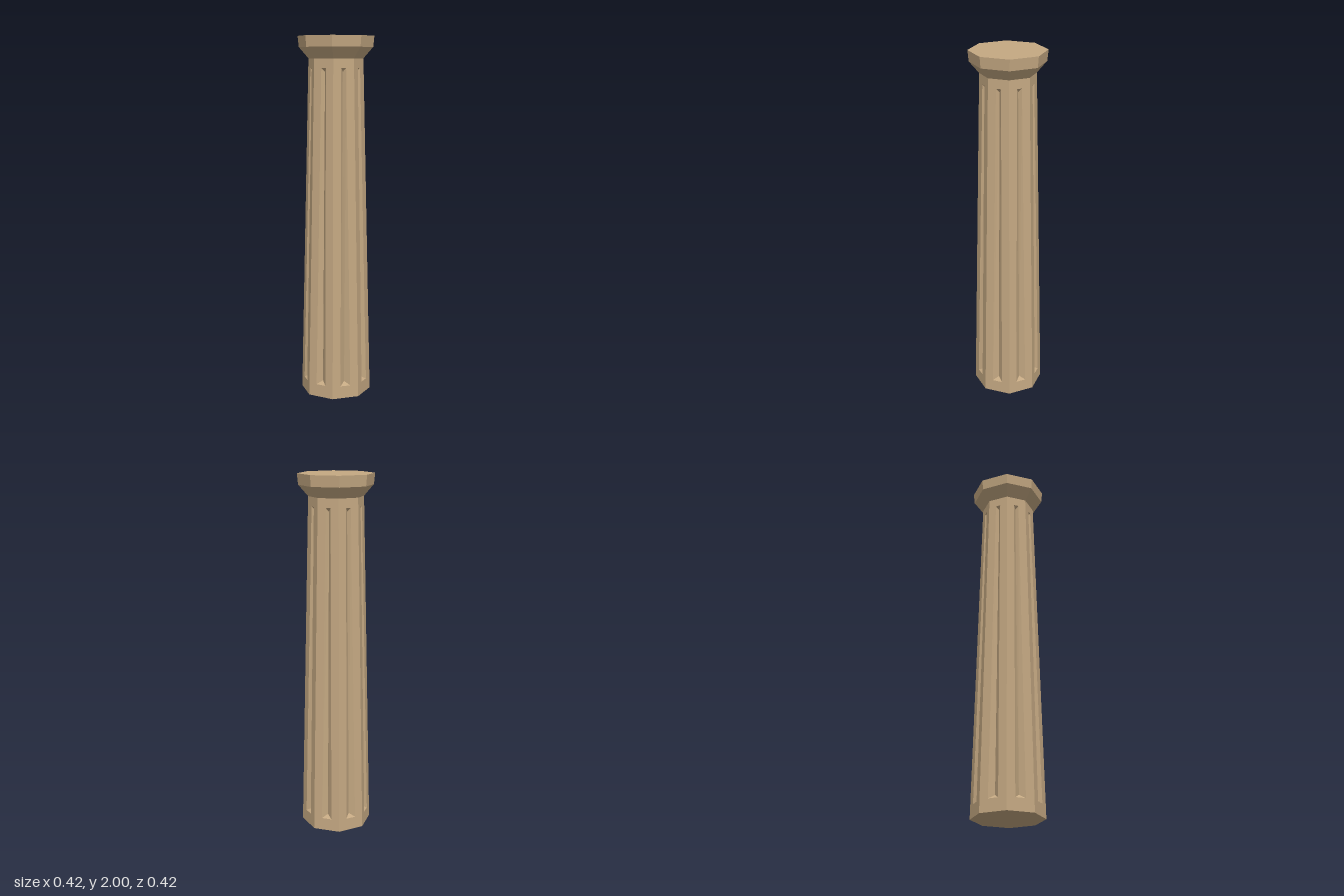
import * as THREE from 'three';

const SIDES = 8;
const SHAFT_TOP = 1.88;
const R_BOTTOM = 0.197, R_TOP = 0.15;

const stone = new THREE.MeshStandardMaterial({ color: 0xc4a882, flatShading: true });

// Point on shaft face i: u runs 0..1 across the face, y is height, d is depth below the face
function facePoint(i, u, y, d = 0) {
  const r = THREE.MathUtils.lerp(R_BOTTOM, R_TOP, y / SHAFT_TOP);
  const a = (i / SIDES) * Math.PI * 2, b = ((i + 1) / SIDES) * Math.PI * 2, m = (a + b) / 2;
  return new THREE.Vector3(
    r * THREE.MathUtils.lerp(Math.sin(a), Math.sin(b), u) - d * Math.sin(m),
    y,
    r * THREE.MathUtils.lerp(Math.cos(a), Math.cos(b), u) - d * Math.cos(m)
  );
}

// Tapered octagonal shaft with one V-shaped flute cut into every face
function shaftGeometry() {
  const pos = [];
  const tri = (...pts) => pts.forEach((p) => pos.push(p.x, p.y, p.z));
  const quad = (a, b, c, d) => { tri(a, b, c); tri(a, c, d); };
  for (let i = 0; i < SIDES; i++) {
    const p = (u, y, d) => facePoint(i, u, y, d);
    const a = p(0, 0), b = p(1, 0), c = p(1, SHAFT_TOP), d = p(0, SHAFT_TOP);
    // flute rim and its sunken centre line
    const bl = p(0.31, 0.07), br = p(0.69, 0.07), tr = p(0.62, 1.83), tl = p(0.38, 1.83);
    const low = p(0.5, 0.09, 0.024), high = p(0.5, 1.81, 0.016);
    // flat border
    quad(a, b, br, bl);
    quad(b, c, tr, br);
    quad(c, d, tl, tr);
    quad(d, a, bl, tl);
    // flute walls and pointed ends
    quad(bl, low, high, tl);
    quad(low, br, tr, high);
    tri(bl, br, low);
    tri(tr, tl, high);
    // underside
    tri(new THREE.Vector3(0, 0, 0), b, a);
  }
  const g = new THREE.BufferGeometry();
  g.setAttribute('position', new THREE.Float32BufferAttribute(pos, 3));
  g.computeVertexNormals();
  return g;
}

export function createModel() {
  const group = new THREE.Group();
  group.name = 'column';
  const add = (name, geometry, y = 0) => {
    const mesh = new THREE.Mesh(geometry, stone);
    mesh.name = name;
    mesh.position.y = y;
    group.add(mesh);
    return mesh;
  };

  add('shaft', shaftGeometry());

  // Capital: a flaring neck under a shallow slab
  add('capitalNeck', new THREE.CylinderGeometry(0.202, R_TOP, 0.06, SIDES, 1, true), 1.91);
  const slab = add('capitalSlab', new THREE.CylinderGeometry(0.208, 0.202, 0.06, SIDES), 1.97);
  slab.scale.x = 1.005;
  return group;
}
